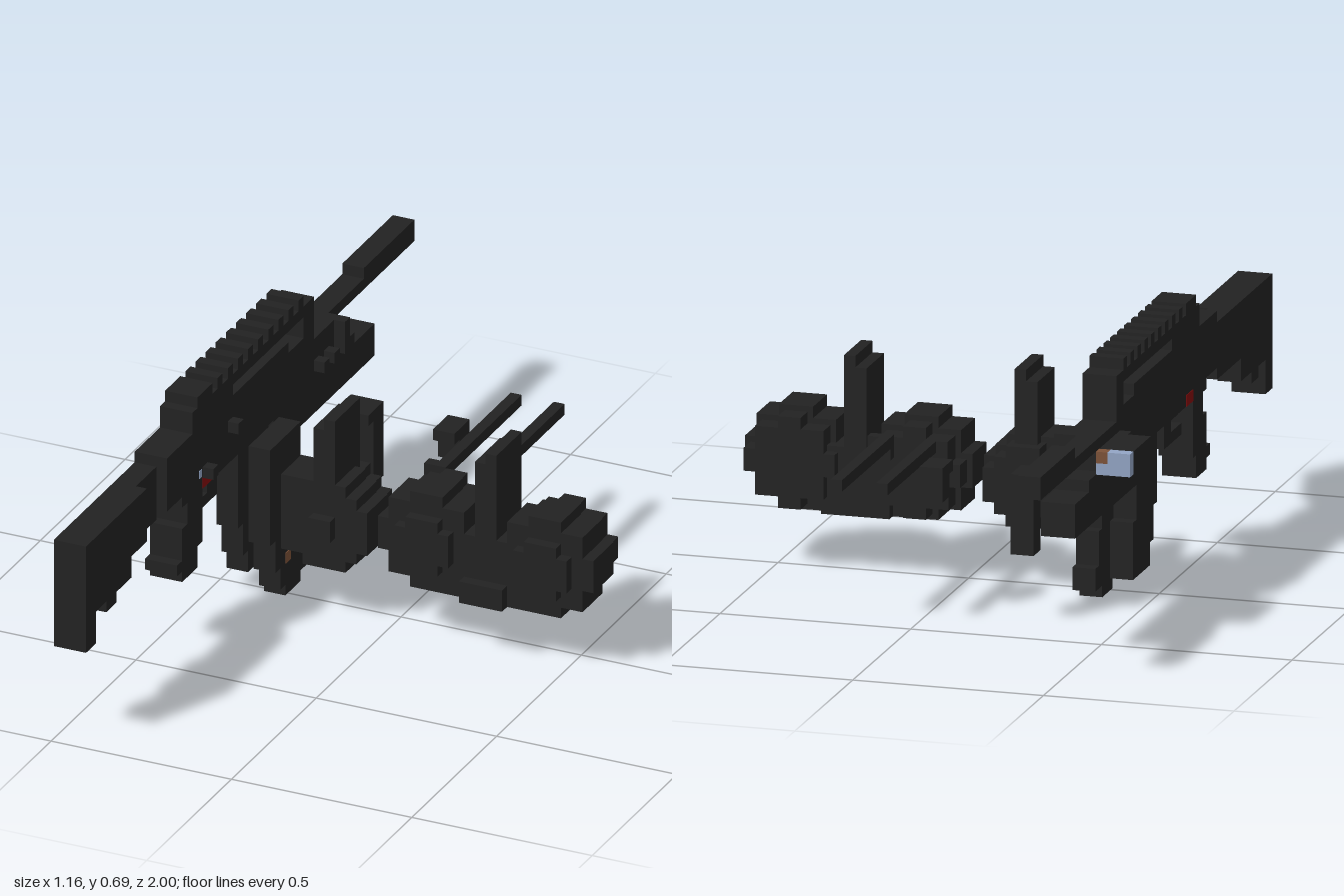
import * as THREE from 'three';

const V = 2 / 67; // block size

export function createModel() {
  const root = new THREE.Group();
  const mat = (name, color) => {
    const m = new THREE.MeshStandardMaterial({ color });
    m.name = name;
    return m;
  };
  const dark = mat('charcoal', 0x222222);
  const red = mat('red', 0x850a0a);
  const brown = mat('brown', 0x7d5238);
  const blue = mat('paleBlue', 0x93a6c6);

  const group = (name) => {
    const g = new THREE.Group();
    g.name = name;
    root.add(g);
    return g;
  };
  // Box between block coordinates: x 0..39, y 0..23, z 0..67
  const box = (g, name, x0, x1, y0, y1, z0, z1, m = dark) => {
    const mesh = new THREE.Mesh(new THREE.BoxGeometry((x1 - x0) * V, (y1 - y0) * V, (z1 - z0) * V), m);
    mesh.position.set(((x0 + x1) / 2 - 19.5) * V, ((y0 + y1) / 2) * V, ((z0 + z1) / 2 - 33.5) * V);
    mesh.name = name;
    g.add(mesh);
  };

  // Stock: stepped underside
  const stock = group('stock');
  [[65, 67, 9], [63, 65, 12], [61, 63, 11], [58, 61, 12], [55, 58, 14]]
    .forEach(([z0, z1, y0]) => box(stock, 'stockStep', 3, 6, y0, 19, z0, z1));
  box(stock, 'stockNeck', 3, 5, 14, 19, 51, 55);

  // Receiver, barrel and fore-end
  const body = group('receiver');
  box(body, 'rearReceiver', 3, 6, 15, 20, 42, 51);
  box(body, 'midReceiver', 3, 6, 14, 20, 27, 42);
  box(body, 'lowerRear', 3, 6, 14, 15, 44, 48);
  box(body, 'frontReceiver', 3, 6, 14, 19, 22, 27);
  box(body, 'carryBlock', 3, 6, 20, 22, 38, 46);
  box(body, 'rearSight', 3, 6, 22, 23, 42, 45);
  box(body, 'fireSelector', 2.95, 6.05, 14, 15, 42, 44, red);
  box(body, 'selectorMark', 5.9, 6.05, 15.2, 15.9, 44.2, 44.7, blue);

  const rail = group('topRail');
  box(rail, 'railBar', 3, 6, 21, 22, 23, 46);
  box(rail, 'railFrontPost', 3, 6, 18, 22, 22, 24);
  for (let z = 24; z <= 40; z += 2) box(rail, 'railTooth', 3, 6, 22, 23, z, z + 1);

  const front = group('foreEnd');
  box(front, 'upperGuard', 3, 6, 15, 18, 17, 22);
  box(front, 'lowerGuard', 3, 6, 11, 14, 10, 30);
  box(front, 'guardBridge', 3, 6, 14, 15, 14, 23);
  box(front, 'barrel', 3, 5, 17, 18, 10, 22);
  box(front, 'muzzle', 3, 5, 17, 19, 0, 10);

  // Side studs
  [[17, 15, 18], [19, 15, 16], [21, 15, 16], [38, 17, 18], [43, 15, 16]]
    .forEach(([z, y0, y1]) => box(body, 'sideStud', 6, 7, y0, y1, z, z + 1));

  // Side lamp
  const lamp = group('lamp');
  box(lamp, 'lampBody', 0, 3, 15, 17, 17, 22);
  box(lamp, 'lampRear', 2, 3, 15, 17, 22, 23);
  box(lamp, 'lampLens', 0, 2, 15, 17, 16, 17, blue);
  box(lamp, 'lampLensLow', 2, 3, 15, 16, 16, 17, blue);
  box(lamp, 'lampSwitch', 2, 3, 16, 17, 16, 17, brown);

  // Grip and trigger guard
  const grip = group('grip');
  box(grip, 'gripTop', 3, 6, 12, 14, 44, 47);
  box(grip, 'gripMiddle', 3, 6, 9, 12, 44, 48);
  box(grip, 'gripHeel', 3, 6, 8, 9, 45, 49);
  box(grip, 'gripBottom', 3, 6, 7, 8, 45, 48);
  box(grip, 'guardBar', 4, 5, 11, 12, 39, 44);
  box(grip, 'guardFront', 4, 5, 11, 14, 39, 41);
  box(grip, 'trigger', 4, 5, 13, 14, 41, 43);

  // Fitted magazine and a spare one beside it
  const fitted = group('fittedMagazine');
  box(fitted, 'magazineTop', 4, 6, 7, 14, 31, 37);
  box(fitted, 'magazineMiddle', 4, 6, 4, 7, 30, 36);
  box(fitted, 'magazineBottom', 4, 6, 2, 4, 30, 35);
  const spare = group('spareMagazine');
  box(spare, 'spareTop', 7, 9, 6, 15, 31, 37);
  box(spare, 'spareMiddle', 7, 9, 3, 6, 30, 36);
  box(spare, 'spareBottom', 7, 9, 1, 3, 29, 35);
  box(spare, 'spareFoot', 7, 9, 0, 1, 31, 34);
  box(spare, 'spareButton', 8.9, 9.05, 3, 4, 33, 34, brown);

  // Loose foregrips
  const foregrips = group('foregrips');
  box(foregrips, 'foregripPlate', 9, 12, 12, 13, 21, 24);
  box(foregrips, 'foregripHandle', 10, 12, 6, 12, 21, 23);
  box(foregrips, 'shortPlate', 18, 20, 12, 13, 21, 24);
  box(foregrips, 'shortHandle', 18, 20, 10, 12, 21, 23);

  // Folded bipod: mirrored legs and feet
  const bipod = group('bipod');
  [[21, 22, 20, 22], [25, 26, 25, 27]].forEach(([x0, x1, f0, f1]) => {
    box(bipod, 'bipodLeg', x0, x1, 12, 13, 15, 30);
    box(bipod, 'bipodFoot', f0, f1, 11, 13, 29, 30);
  });

  // Rounded drum from stacked rows [halfWidth, halfHeight]
  const drum = (g, cx, cy, rows, shrink) => {
    rows.forEach(([w, h]) => {
      box(g, 'drumRim', cx - w, cx + w, cy - h, cy + h, 33, 37);
      box(g, 'drumBack', cx - w + shrink, cx + w - shrink, cy - h + shrink, cy + h - shrink, 31, 33);
    });
  };

  // Single drum magazine with feed tower
  const single = group('singleDrum');
  drum(single, 14, 9, [[4, 2], [3, 3], [2, 4]], 0.5);
  box(single, 'drumCorner', 10, 14, 6, 13, 33, 37);
  box(single, 'drumHub', 13, 15, 8, 10, 37, 38);
  // Twin drum magazine
  const twin = group('twinDrum');
  [23.5, 34.5].forEach((cx) => {
    drum(twin, cx, 9.5, [[4.5, 1.5], [3.5, 3.5], [1.5, 4.5]], 0.5);
    box(twin, 'drumCover', cx - 2.5, cx + 2.5, 8, 11, 37, 38);
    box(twin, 'drumCoverTall', cx - 1.5, cx + 1.5, 7, 12, 37, 38);
  });
  box(twin, 'drumBridge', 26, 32, 5, 11, 32, 37);
  box(twin, 'bridgeFace', 27, 31, 5, 7, 37, 38);
  box(twin, 'bridgeBase', 22, 36, 5, 6, 33, 37);

  // Feed towers
  [[single, 13, 12], [twin, 28, 11]].forEach(([g, x, y]) => {
    box(g, 'feedTower', x, x + 2, y, 18, 32, 37);
    box(g, 'feedLip', x + 1, x + 2, 18, 19, 32, 37);
  });

  return root;
}
